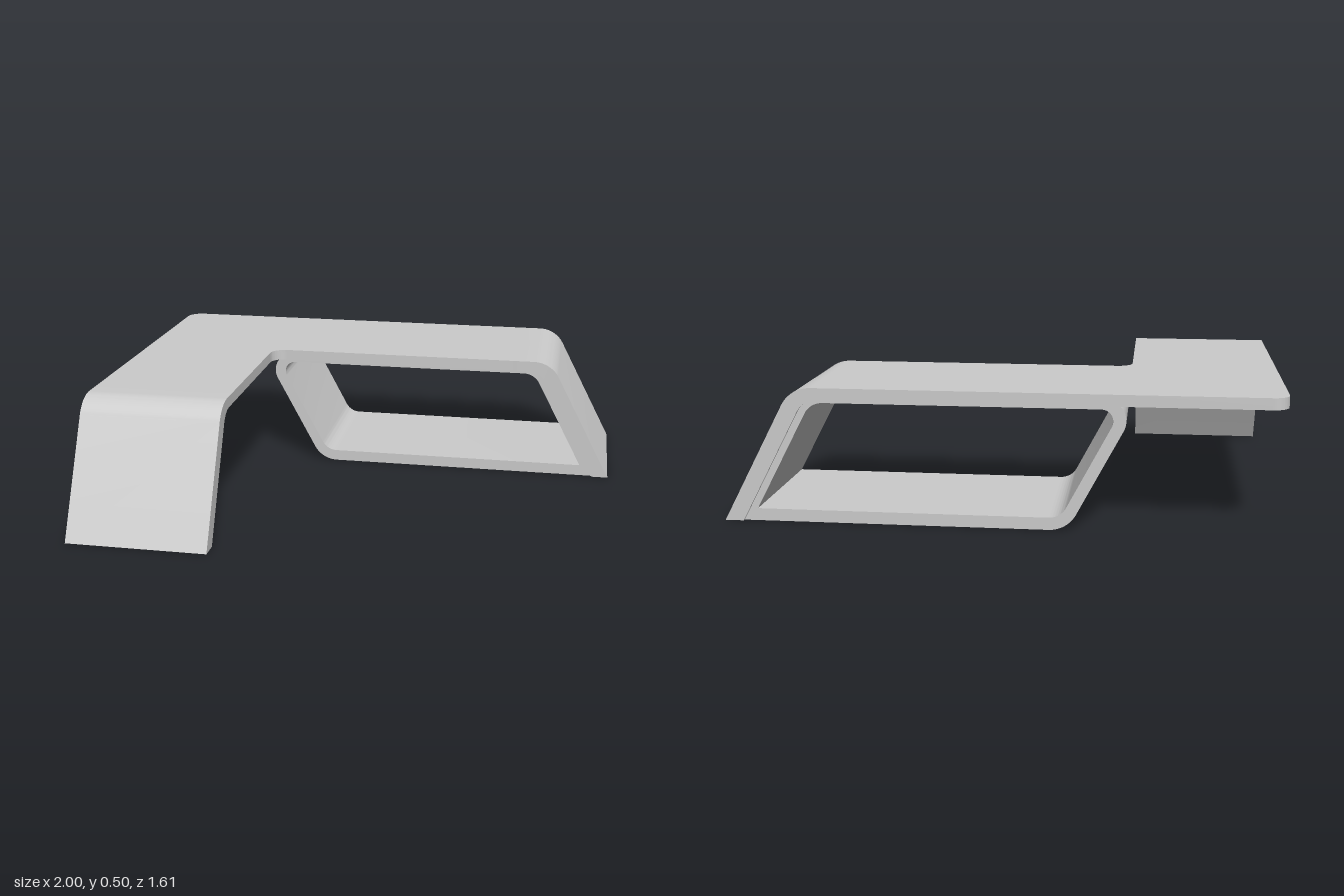
import * as THREE from 'three';
import { toCreasedNormals } from 'three/addons/utils/BufferGeometryUtils.js';

const material = new THREE.MeshStandardMaterial({ color: 0xcccccc });

// Polygon points from corners [x, y, radius], each corner filleted with an arc
function rounded(corners) {
  const out = [];
  const n = corners.length;
  corners.forEach(([x, y, r = 0], i) => {
    const p = new THREE.Vector2(x, y);
    if (!r) { out.push(p); return; }
    const a = new THREE.Vector2(...corners[(i + n - 1) % n].slice(0, 2)).sub(p).normalize();
    const b = new THREE.Vector2(...corners[(i + 1) % n].slice(0, 2)).sub(p).normalize();
    const half = Math.acos(a.dot(b)) / 2;
    const c = a.clone().add(b).normalize().multiplyScalar(r / Math.sin(half)).add(p);
    const t = a.clone().multiplyScalar(r / Math.tan(half)).add(p);
    const turn = Math.sign(b.cross(a)) * -(Math.PI - 2 * half);
    const steps = 14;
    for (let k = 0; k <= steps; k++) {
      out.push(t.clone().rotateAround(c, -turn * k / steps));
    }
  });
  return out;
}

function extrude(corners, depth, hole) {
  const shape = new THREE.Shape(rounded(corners));
  if (hole) shape.holes.push(new THREE.Path(rounded(hole)));
  return new THREE.ExtrudeGeometry(shape, { depth, bevelEnabled: false });
}

function part(name, geometry) {
  const mesh = new THREE.Mesh(toCreasedNormals(geometry, 0.5), material);
  mesh.name = name;
  return mesh;
}

export function createModel() {
  const group = new THREE.Group();
  group.name = 'cornerDesk';
  const back = -0.805, inner = -0.235, top = 0.495, under = 0.453, seam = 0.6;
  const innerX = -0.45, shift = -0.195;

  // L-shaped top with rounded outer and inner corners
  const plan = [
    [-1, -(seam + shift)], [innerX, -(seam + shift)], [innerX, -inner, 0.06],
    [seam, -inner], [seam, -back], [-1, -back, 0.06],
  ];
  group.add(part('top', extrude(plan, top - under).rotateX(-Math.PI / 2).translate(0, under, 0)));

  // Slanted legs flowing out of the top through a bend
  const leg = [[1, 0], [0.741, top, 0.12], [seam, top], [seam, under], [0.695, under, 0.08], [0.932, 0]];
  group.add(part('sideLeg', extrude(leg, inner - back).translate(0, 0, back)));
  const frontProfile = leg.map(([x, y, r]) => [x + shift, y, r]);
  group.add(part('frontLeg', extrude(frontProfile, 1 + innerX).rotateY(-Math.PI / 2).translate(innerX, 0, 0)));

  // Open slanted shelf loop tucked under the long arm
  const inset = 0.01;
  const outerLoop = [[-0.243, 0, 0.11], [0.938, 0], [0.69, 0.475, 0.1], [-0.495, 0.475, 0.075]];
  const innerLoop = [[-0.219, 0.045, 0.07], [0.88, 0.045], [0.673, 0.44, 0.075], [-0.428, 0.44, 0.042]];
  group.add(part('shelfLoop', extrude(outerLoop, inner - back - 2 * inset, innerLoop).translate(0, 0, back + inset)));

  return group;
}
